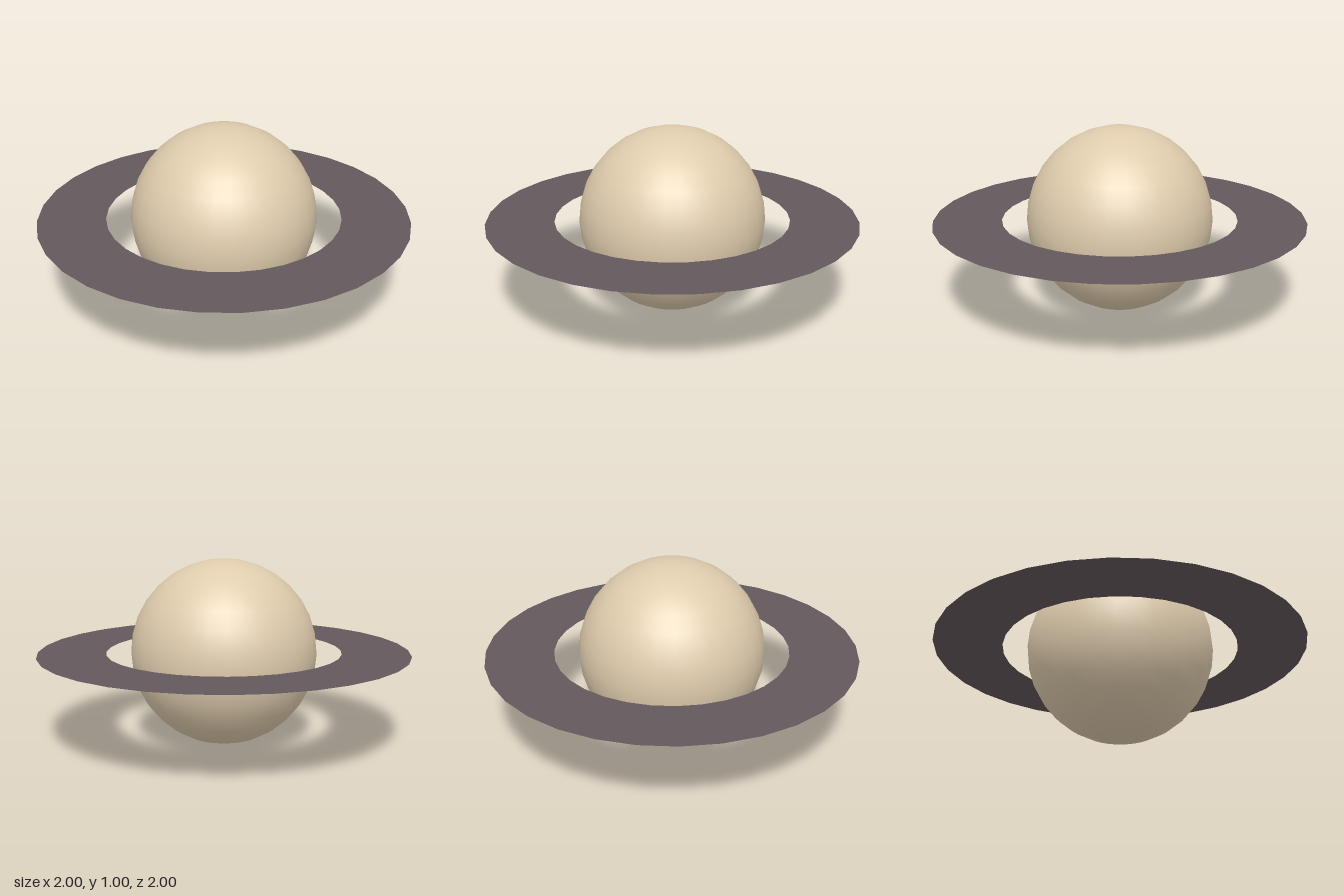
import * as THREE from 'three';

export function createModel() {
  const model = new THREE.Group();
  model.name = 'ringedPlanet';

  const sand = new THREE.MeshStandardMaterial({ color: 0xdfccad });
  sand.name = 'sand';
  const dustyMauve = new THREE.MeshStandardMaterial({ color: 0x63585c, side: THREE.DoubleSide });
  dustyMauve.name = 'dusty mauve';

  // Smooth globe standing on the ground
  const globe = new THREE.Mesh(new THREE.SphereGeometry(0.5, 32, 16), sand);
  globe.name = 'globe';
  globe.position.y = 0.5;

  // Flat ring lying around the equator
  const ring = new THREE.Mesh(new THREE.RingGeometry(0.633, 1, 32), dustyMauve);
  ring.name = 'ring';
  ring.rotation.x = -Math.PI / 2;
  ring.position.y = 0.5;

  model.add(globe, ring);
  return model;
}
